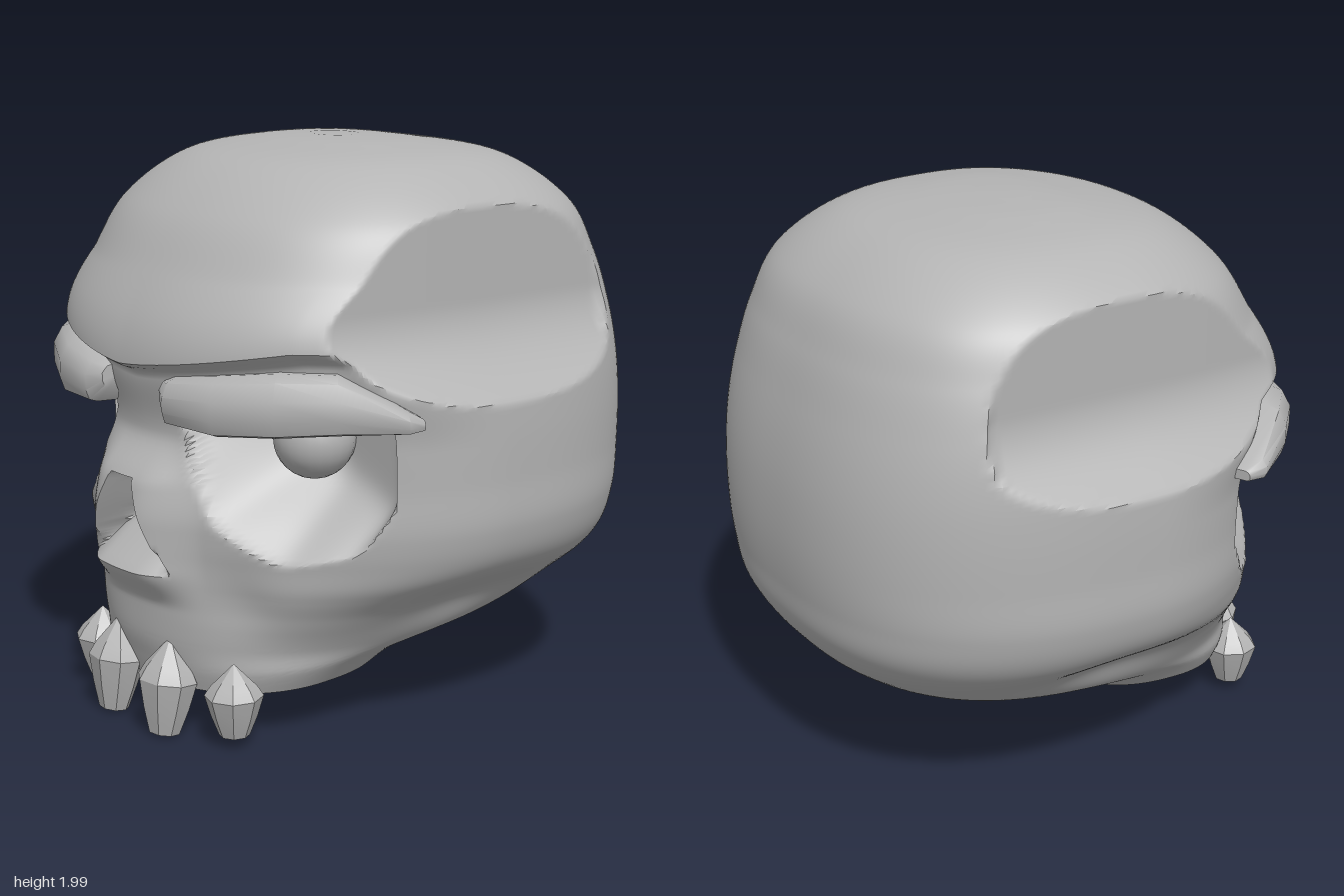
import * as THREE from 'three';
import { toCreasedNormals } from 'three/addons/utils/BufferGeometryUtils.js';

const { lerp, smoothstep, clamp, mapLinear } = THREE.MathUtils;

// Skin a stack of closed rings (counter-clockwise about the stacking direction) and cap both ends.
function loft(rings, crease) {
  const n = rings[0].length, pos = [], idx = [];
  rings.forEach(r => r.forEach(p => pos.push(p.x, p.y, p.z)));
  for (let i = 0; i < rings.length - 1; i++) {
    for (let j = 0; j < n; j++) {
      const k = (j + 1) % n, a = i * n + j, b = i * n + k;
      idx.push(a, b, b + n, a, b + n, a + n);
    }
  }
  [0, rings.length - 1].forEach(i => {
    const c = new THREE.Vector3();
    rings[i].forEach(p => c.addScaledVector(p, 1 / n));
    const centre = pos.length / 3;
    pos.push(c.x, c.y, c.z);
    for (let j = 0; j < n; j++) {
      const a = i * n + j, b = i * n + (j + 1) % n;
      if (i === 0) idx.push(centre, b, a); else idx.push(centre, a, b);
    }
  });
  const g = new THREE.BufferGeometry();
  g.setAttribute('position', new THREE.Float32BufferAttribute(pos, 3));
  g.setIndex(idx);
  return toCreasedNormals(g, crease);
}

function spline(a, b, c, d, t) {
  return b + 0.5 * t * (c - a + t * (2 * a - 5 * b + 4 * c - d + t * (3 * (b - c) + d - a)));
}

// Minimum of several slopes with rounded valleys
function softMin(k, ...v) {
  const m = Math.min(...v);
  return m - k * Math.log(v.reduce((s, d) => s + Math.exp((m - d) / k), 0));
}

// Skull cross-sections: front y, back y, half width, front z, back z
const SECTIONS = [
  [0.165, 0.2, 0.49, 0.84, 0.02],
  [0.24, 0.28, 0.55, 0.86, -0.15],
  [0.33, 0.33, 0.62, 0.88, -0.58],
  [0.45, 0.45, 0.735, 0.885, -0.805],
  [0.58, 0.6, 0.88, 0.89, -0.92],
  [0.74, 0.75, 0.94, 0.89, -0.95],
  [0.92, 0.92, 0.945, 0.89, -0.965],
  [1.1, 1.1, 0.947, 0.91, -0.962],
  [1.26, 1.26, 0.94, 0.935, -0.943],
  [1.42, 1.42, 0.917, 0.905, -0.907],
  [1.6, 1.6, 0.87, 0.81, -0.85],
  [1.78, 1.78, 0.79, 0.685, -0.755],
  [1.93, 1.93, 0.58, 0.48, -0.55],
  [1.985, 1.985, 0.33, 0.22, -0.28],
  [2.0, 2.0, 0.1, 0.08, -0.08],
];

// Half width of the nose opening, relaxing to 0.15 above and below it
function noseHalf(y) {
  if (y < 0.57) return mapLinear(Math.max(y, 0.4), 0.4, 0.57, 0.15, 0.22);
  if (y < 0.9) return mapLinear(y, 0.57, 0.9, 0.22, 0.06);
  return mapLinear(Math.min(y, 1.05), 0.9, 1.05, 0.06, 0.15);
}

// Slide the face columns sideways so one of them follows the edge of the nose opening.
function followNose(x, y) {
  const a = Math.abs(x), h = noseHalf(y);
  if (a > 0.5) return x;
  return Math.sign(x) * (a < 0.15 ? a * h / 0.15 : mapLinear(a, 0.15, 0.5, h, 0.5));
}

// Carve the face, temples and jaw hollows into a point of the plain skull.
function sculpt(p) {
  const x = Math.abs(p.x), level = p.y;
  if (p.z > 0) {
    // bend the rows along the forehead edge, which rises outward
    const rise = 0.1 * Math.min(x / 0.65, 1) ** 1.3 * smoothstep(p.z, 0.3, 0.55);
    p.y += rise * Math.max(0, 1 - Math.abs(level - 1.29) / 0.3);
    const y = p.y;
    let z = p.z;
    // ledge under the forehead, and the bridge of the nose
    z -= 0.07 * smoothstep(level, 0.75, 1.1) * (1 - smoothstep(level, 1.25, 1.29)) * (1 - smoothstep(x, 0.7, 0.85));
    // raised nose rim and hollow beside it
    z += 0.08 * (1 - smoothstep(x, 0.1, 0.32)) * smoothstep(y, 0.45, 0.6) * (1 - smoothstep(y, 0.88, 1.05));
    z -= 0.03 * Math.exp(-(((x - 0.42) / 0.12) ** 2) - ((y - 0.5) / 0.13) ** 2);
    // eye socket: bowl-like inner and lower slopes, steep outer and upper walls
    const socket = softMin(0.025,
      2.1 * (0.905 * (x - 0.19) + 0.424 * (y - 1.1)),
      1.5 * (0.514 * (x - 0.34) + 0.857 * (y - 0.78)),
      1.3 * (-0.275 * (x - 0.55) + 0.96 * (y - 0.645)),
      3 * (-0.908 * (x - 0.825) + 0.419 * (y - 0.85)),
      5 * (0.825 - x), 6 * (1.18 - y));
    if (socket > 0) z = Math.min(z, -softMin(0.04, -0.37, socket - z));
    // nose opening
    z -= clamp(Math.min(9 * (noseHalf(y) - x), 1.3 * (y - 0.58), 7 * (0.9 - y)), 0, 0.19);
    p.z = z;
  }
  // hollowed temple, flaring out to the cheekbone
  const limit = 0.755 - 0.1 * Math.max(0, p.z) ** 2 + 0.7 * Math.max(0, -0.55 - p.z) + 1.9 * Math.max(0, 1.5 - p.y) ** 2;
  if (p.y > 1.12 && x > limit) p.x = Math.sign(p.x) * limit;
  // hollow between cheekbone and jaw
  p.x *= 1 - 0.08 * Math.exp(-((p.z / 0.3) ** 2) - ((p.y - 0.45) / 0.1) ** 2);
  return p;
}

function skullGeometry() {
  const rings = [], steps = 11, cols = 240, last = SECTIONS.length - 1;
  const power = (v, n) => Math.sign(v) * Math.abs(v) ** (2 / n);
  for (let r = 0; r <= last * steps; r++) {
    const i = Math.min(Math.floor(r / steps), last - 1), t = r / steps - i;
    const at = k => SECTIONS[clamp(k, 0, last)];
    const [yf, yb, w, zf, zb] = at(i).map((v, k) => spline(at(i - 1)[k], v, at(i + 1)[k], at(i + 2)[k], t));
    const mid = Math.max(0, (zf + zb) / 2), ring = [];
    // rounder cheeks than forehead
    const front = 2.2 - 0.28 * smoothstep(yf, 0.4, 0.65) * (1 - smoothstep(yf, 1.05, 1.28));
    const back = 2.55;
    for (let j = 0; j < cols; j++) {
      const u = j / cols * Math.PI * 2, a = u - 0.45 * Math.sin(u); // more columns on the face
      const c = Math.cos(a), n = c > 0 ? front : back;
      let x = w * power(Math.sin(a), n), depth = Math.abs(c) ** (2 / n);
      if (c > 0 && Math.abs(x) < 0.5 && w > 0.55 && yf < 1.1) {
        x = followNose(x, yf);
        depth = (1 - Math.abs(x / w) ** n) ** (1 / n);
      }
      const z = c > 0 ? mid + depth * (zf - mid) : mid - depth * (mid - zb);
      ring.push(sculpt(new THREE.Vector3(x, lerp(yf, yb, (zf - z) / (zf - zb)), z)));
    }
    rings.push(ring);
  }
  return loft(rings, 0.7);
}

// Brow stations: x, z, bottom, top, thickness
const BROW = [
  [0.17, 0.89, 1.17, 1.25, 0.14],
  [0.23, 0.92, 1.11, 1.265, 0.2],
  [0.45, 0.885, 1.1, 1.295, 0.24],
  [0.65, 0.785, 1.115, 1.32, 0.24],
  [0.8, 0.64, 1.13, 1.32, 0.22],
  [0.93, 0.45, 1.135, 1.21, 0.14],
  [0.925, 0.38, 1.14, 1.175, 0.06],
];
const BROW_SECTION = [[0, 0.28], [0.06, 0.06], [0.2, 0], [1, 0], [1, 1], [0.35, 1], [0.13, 0.9], [0, 0.62]];

function browGeometry(s) {
  const section = s > 0 ? BROW_SECTION : [...BROW_SECTION].reverse();
  return loft(BROW.map(([x, z, lo, hi, t]) => {
    const len = Math.hypot(x, z);
    return section.map(([u, v]) =>
      new THREE.Vector3(s * x * (1 - u * t / len), lerp(lo, hi, v), z * (1 - u * t / len)));
  }), 0.75);
}

export function createModel() {
  const bone = new THREE.MeshStandardMaterial({ color: 0xb4b4b4 });
  bone.name = 'bone grey';
  const model = new THREE.Group();
  model.name = 'skull';
  const add = (name, geometry, x = 0, y = 0, z = 0) => {
    const m = new THREE.Mesh(geometry, bone);
    m.name = name;
    m.position.set(x, y, z);
    model.add(m);
    return m;
  };

  add('cranium', skullGeometry());

  // faceted tooth: blunt tip, wide crown, pointed root, one flat facet to the front
  const profile = [[0, 0], [0.06, 0], [0.09, 0.09], [0.115, 0.19], [0.09, 0.235], [0, 0.34]];
  const tooth = toCreasedNormals(
    new THREE.LatheGeometry(profile.map(([r, y]) => new THREE.Vector2(r, y)), 8).rotateY(Math.PI / 8), 0.5);

  for (const s of [1, -1]) {
    const side = s > 0 ? 'left' : 'right';
    add(side + 'Brow', browGeometry(s));
    add(side + 'Eye', new THREE.SphereGeometry(0.14, 24, 16), s * 0.47, 1.05, 0.47);
    const inner = add(side + 'InnerTooth', tooth, s * 0.155, 0.01, 0.885);
    inner.scale.set(1, 1, 0.85);
    inner.rotation.set(-0.1, s * 0.15, 0);
    const outer = add(side + 'OuterTooth', tooth, s * 0.4, 0.045, 0.765);
    outer.scale.set(0.88, 0.74, 0.88);
    outer.rotation.y = s * 0.5;
  }
  return model;
}
